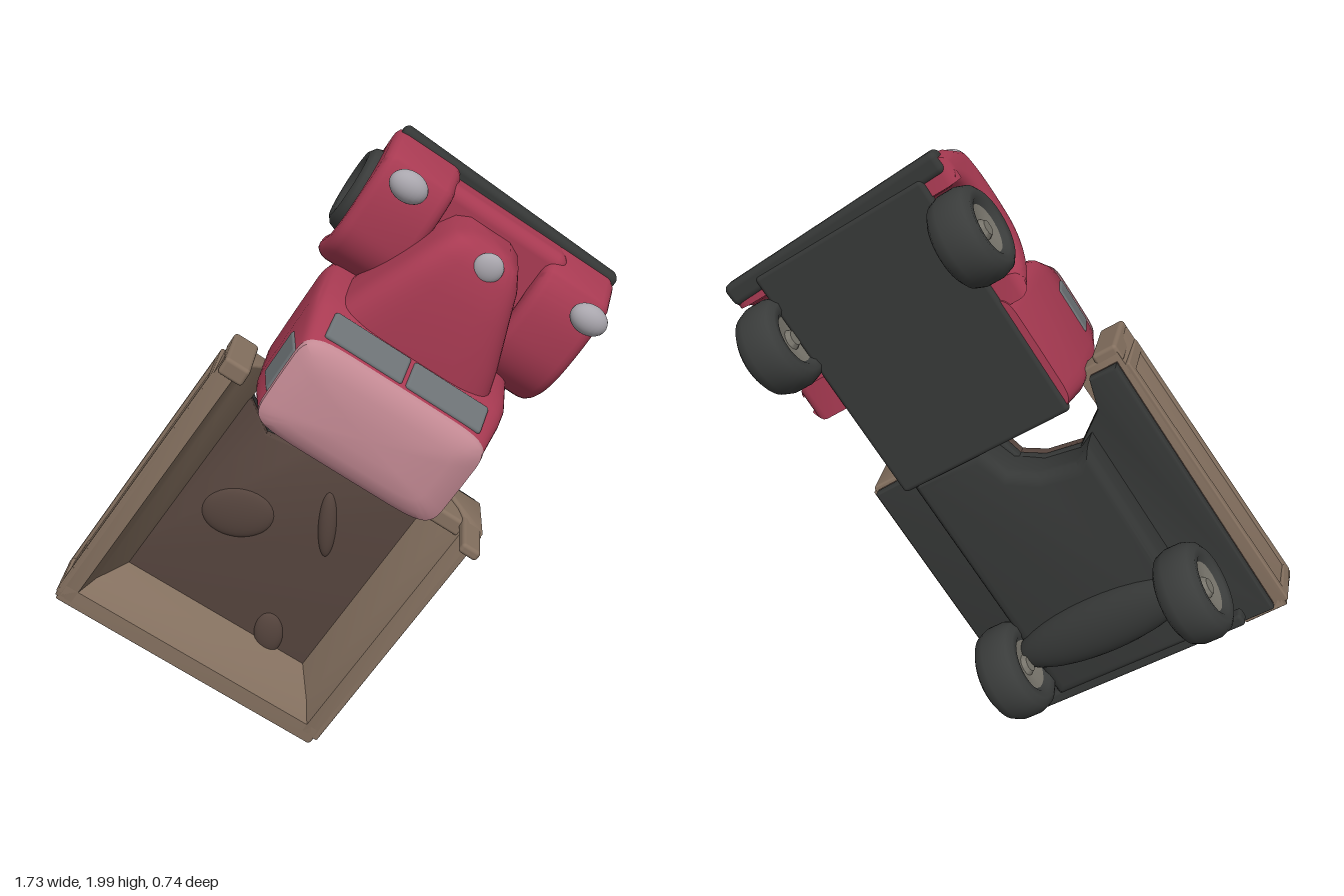
import * as THREE from 'three';
import { toCreasedNormals } from 'three/addons/utils/BufferGeometryUtils.js';
import { RoundedBoxGeometry } from 'three/addons/geometries/RoundedBoxGeometry.js';

// Truck frame: x = across, y = forward (nose), z = up
const paint = (color, side = THREE.FrontSide) => new THREE.MeshStandardMaterial({ color, side });
const RED = paint(0xa83a52), ROOF = paint(0xc48a94), WOOD = paint(0x84705f), FLOOR = paint(0x55443d);
const DARK = paint(0x353736), TYRE = paint(0x3a3c3b), HUB = paint(0x77746b, THREE.DoubleSide);
const GLASS = paint(0x6c7275), LAMP = paint(0xa9a6ad);
const X = new THREE.Vector3(1, 0, 0), Y = new THREE.Vector3(0, 1, 0), Z = new THREE.Vector3(0, 0, 1);

function add(parent, name, geo, mat, x = 0, y = 0, z = 0) {
  const m = new THREE.Mesh(geo, mat);
  m.name = name;
  m.position.set(x, y, z);
  parent.add(m);
  return m;
}

function addGroup(parent, name) {
  const g = new THREE.Group();
  g.name = name;
  parent.add(g);
  return g;
}

// Rounded box given by its limits
function block(parent, name, mat, [x0, x1], [y0, y1], [z0, z1], r = 0.012) {
  const g = new RoundedBoxGeometry(x1 - x0, y1 - y0, z1 - z0, 3, r);
  return add(parent, name, g, mat, (x0 + x1) / 2, (y0 + y1) / 2, (z0 + z1) / 2);
}

function ellipsoid(parent, name, mat, center, radii) {
  const m = add(parent, name, new THREE.SphereGeometry(1, 24, 16), mat, ...center);
  m.scale.set(...radii);
  return m;
}

// Skin over superellipse rings; place(a, b, t) maps ring coordinates to space
// rings: [t, halfWidth, bMin, bMax]
function loft(rings, power, place) {
  const N = 48, pos = [], idx = [];
  const push = (v) => pos.push(...v);
  const curve = (c) => Math.sign(c) * Math.pow(Math.abs(c), 2 / power);
  for (const [t, w, b0, b1] of rings) {
    for (let i = 0; i < N; i++) {
      const a = (i / N) * Math.PI * 2;
      push(place(w * curve(Math.cos(a)), (b0 + b1) / 2 + ((b1 - b0) / 2) * curve(Math.sin(a)), t));
    }
  }
  const last = rings.length - 1;
  for (let r = 0; r < last; r++) {
    for (let i = 0; i < N; i++) {
      const a = r * N + i, b = r * N + ((i + 1) % N);
      idx.push(a, b, b + N, a, b + N, a + N);
    }
  }
  for (const r of [0, last]) {
    const [t, , b0, b1] = rings[r], c = pos.length / 3;
    push(place(0, (b0 + b1) / 2, t));
    for (let i = 0; i < N; i++) {
      const a = r * N + i, b = r * N + ((i + 1) % N);
      if (r === 0) idx.push(c, b, a); else idx.push(c, a, b);
    }
  }
  const g = new THREE.BufferGeometry();
  g.setAttribute('position', new THREE.Float32BufferAttribute(pos, 3));
  g.setIndex(idx);
  return toCreasedNormals(g, 0.8);
}
const upward = (a, b, t) => [a, b, t];
const backward = (a, b, t) => [a, -t, b]; // rings run from nose to cab

function extrude(shape, depth, basis, bevel) {
  const g = new THREE.ExtrudeGeometry(shape, {
    depth: depth - 2 * bevel, bevelSize: bevel, bevelThickness: bevel,
    bevelOffset: -bevel, bevelSegments: 4, curveSegments: 20,
  });
  g.translate(0, 0, bevel);
  g.applyMatrix4(new THREE.Matrix4().makeBasis(...basis));
  return toCreasedNormals(g, 0.7);
}
const polygon = (pts) => new THREE.Shape(pts.map((p) => new THREE.Vector2(...p)));

// Fat tyre with a dished hub on both faces
function wheel(parent, name, x, y, z, r, w) {
  const g = addGroup(parent, name);
  g.position.set(x, y, z);
  g.rotation.z = Math.PI / 2;
  const tyre = [[0.5, -0.7], [0.62, -0.95], [0.78, -1], [0.92, -0.8], [1, -0.35], [1, 0.35],
    [0.92, 0.8], [0.78, 1], [0.62, 0.95], [0.5, 0.7]].map(([a, b]) => new THREE.Vector2(a * r, b * w));
  add(g, 'tyre', new THREE.LatheGeometry(tyre, 40), TYRE);
  const hub = [[0, -0.8], [0.16, -0.8], [0.22, -0.6], [0.54, -0.75], [0.54, 0.75], [0.22, 0.6], [0.16, 0.8], [0, 0.8]]
    .map(([a, b]) => new THREE.Vector2(a * r, b * w));
  add(g, 'hub', toCreasedNormals(new THREE.LatheGeometry(hub, 24), 0.5), HUB);
}

function buildBed(truck) {
  const bed = addGroup(truck, 'cargoBed');
  // Floor and chassis, both broken open behind the cab
  const floor = polygon([[-0.465, 0.01], [0.465, 0.01], [0.465, 0.95], [0, 0.96], [-0.03, 0.85],
    [-0.1, 0.81], [-0.22, 0.79], [-0.33, 0.87], [-0.36, 0.97], [-0.455, 0.97]]);
  add(bed, 'bedFloor', extrude(floor, 0.035, [X, Y, Z], 0.008), FLOOR, 0, 0, -0.015);
  add(bed, 'underFloor', extrude(floor, 0.04, [X, Y, Z], 0.01), DARK, 0, 0, -0.05);
  const frame = polygon([[-0.28, 0.08], [0.28, 0.08], [0.28, 0.97], [0.02, 0.97], [-0.02, 0.86],
    [-0.1, 0.81], [-0.22, 0.79], [-0.28, 0.82]]);
  add(bed, 'rearChassis', extrude(frame, 0.155, [X, Y, Z], 0.04), DARK, 0, 0, -0.175);
  block(bed, 'rearBumper', DARK, [-0.4, 0.37], [0.06, 0.1], [-0.165, -0.11]);
  ellipsoid(bed, 'rearAxle', DARK, [0, 0.27, -0.17], [0.32, 0.1, 0.07]);

  // Rubble on the floor
  for (const [x, y, rx, ry] of [[0.17, 0.17, 0.05, 0.08], [0.11, 0.63, 0.03, 0.12], [-0.15, 0.5, 0.12, 0.09]]) {
    ellipsoid(bed, 'rubble', FLOOR, [x, y, 0.015], [rx, ry, 0.025]).rotation.z = 0.5;
  }

  // Sloped walls: upright outside, flaring to the floor inside
  const wall = polygon([[0, -0.01], [-0.008, 0.18], [0.05, 0.18], [0.08, 0.1], [0.15, 0.015], [0.15, -0.01]]);
  const negX = X.clone().negate(), negY = Y.clone().negate();
  const right = addGroup(bed, 'rightSide'), left = addGroup(bed, 'leftSide');
  right.position.x = 0.475;
  left.position.x = -0.5;
  left.rotation.z = -0.03;
  add(right, 'rightWall', extrude(wall, 0.965, [negX, Z, Y], 0.008), WOOD);
  add(left, 'leftWall', extrude(wall, 1.015, [X, Z, negY], 0.008), WOOD, 0, 1.0, 0);
  add(bed, 'tailgate', extrude(wall, 0.975, [Y, Z, X], 0.008), WOOD, -0.5, -0.012, 0);
  for (const side of [left, right]) {
    for (const z of [0.005, 0.165]) block(side, 'sideRail', WOOD, [-0.012, 0.012], [0, 0.95], [z - 0.015, z + 0.015], 0.006);
    for (const y of [0.02, 0.93]) block(side, 'sidePost', WOOD, [-0.012, 0.012], [y - 0.02, y + 0.02], [-0.01, 0.18], 0.006);
  }
  block(bed, 'tailRail', WOOD, [-0.5, 0.47], [-0.026, 0], [0.15, 0.18], 0.006);

  // Remains of the headboard
  block(bed, 'headboardRight', WOOD, [0.2, 0.47], [0.9, 0.955], [0, 0.17]);
  block(bed, 'headboardPost', WOOD, [0.41, 0.475], [0.93, 0.965], [0, 0.32]);
  block(bed, 'headboardLeft', WOOD, [-0.475, -0.39], [0.96, 1.02], [-0.01, 0.2]);
}

function buildCab(truck) {
  const cab = addGroup(truck, 'cab');
  cab.position.x = -0.022;
  add(cab, 'cabBody', loft([[-0.18, 0.31, 0.96, 1.36], [-0.06, 0.335, 0.945, 1.37], [0.14, 0.337, 0.94, 1.35],
    [0.2, 0.33, 0.942, 1.335], [0.32, 0.31, 0.955, 1.275], [0.345, 0.285, 0.975, 1.25]], 9, upward), RED);
  add(cab, 'roof', loft([[0.32, 0.315, 0.95, 1.278], [0.338, 0.312, 0.953, 1.272], [0.356, 0.28, 0.975, 1.25],
    [0.369, 0.23, 1.01, 1.21], [0.375, 0.12, 1.06, 1.15]], 7, upward), ROOF);
  for (const s of [-1, 1]) {
    const pane = add(cab, 'windscreenPane', new RoundedBoxGeometry(0.26, 0.022, 0.105, 3, 0.01), GLASS, s * 0.136, 1.302, 0.26);
    pane.rotation.x = 0.46;
    const side = add(cab, 'sideWindow', new RoundedBoxGeometry(0.02, 0.16, 0.12, 3, 0.009), GLASS, s * 0.318, 1.12, 0.245);
    side.rotation.y = -s * 0.165;
  }
  block(cab, 'rearWindow', GLASS, [-0.15, 0.15], [0.942, 0.96], [0.22, 0.3], 0.008);
}

// Fender outline seen from the side, with the wheel arch cut out
function fender(rear, front) {
  const f = new THREE.Shape();
  f.moveTo(rear, -0.175);
  f.bezierCurveTo(rear + 0.02, -0.06, rear + 0.08, 0.05, 1.52, 0.055);
  f.bezierCurveTo(1.62, 0.06, front - 0.09, 0.05, front - 0.04, 0.015);
  f.lineTo(front, -0.09);
  f.lineTo(front, -0.175);
  f.lineTo(1.7, -0.175);
  f.absarc(1.55, -0.19, 0.15, 0.1, Math.PI - 0.1, false);
  f.closePath();
  return extrude(f, 0.235, [Y, Z, X], 0.035);
}

function buildNose(truck) {
  const nose = addGroup(truck, 'nose');
  add(nose, 'hood', loft([[-1.715, 0.07, -0.08, 0.145], [-1.695, 0.11, -0.1, 0.175], [-1.64, 0.145, -0.1, 0.198],
    [-1.54, 0.185, -0.1, 0.208], [-1.42, 0.235, -0.1, 0.213], [-1.29, 0.28, -0.1, 0.21]], 4.5, backward), RED, -0.02);
  block(nose, 'noseBody', RED, [-0.24, 0.24], [1.3, 1.765], [-0.17, -0.02], 0.04);
  add(nose, 'leftFender', fender(1.32, 1.79), RED, -0.4);
  add(nose, 'rightFender', fender(1.28, 1.765), RED, 0.175);

  // Headlights on short stalks
  for (const [x, y, z] of [[-0.305, 1.715, 0.088], [0.355, 1.677, 0.075]]) {
    ellipsoid(nose, 'headlight', LAMP, [x, y, z], [0.06, 0.046, 0.04]);
    const stem = add(nose, 'headlightStem', new THREE.CylinderGeometry(0.02, 0.028, 0.06, 16), RED, x, y - 0.01, 0.045);
    stem.rotation.x = Math.PI / 2;
  }
  ellipsoid(nose, 'hoodCap', LAMP, [0, 1.67, 0.183], [0.045, 0.045, 0.024]);
  const bumper = block(nose, 'bumper', DARK, [-0.385, 0.41], [1.725, 1.795], [-0.182, -0.12], 0.02);
  bumper.rotation.z = -0.035;
  block(nose, 'frontUnderplate', DARK, [-0.31, 0.3], [0.955, 1.76], [-0.19, -0.155], 0.015);
}

export function createModel() {
  const model = new THREE.Group();
  model.name = 'pickupTruck';
  const truck = addGroup(model, 'truckBody');
  truck.position.set(-0.437, 0.281, 0);
  truck.rotation.z = -0.571; // stands nose-up, leaning to one side

  buildBed(truck);
  buildCab(truck);
  buildNose(truck);
  for (const s of [-1, 1]) {
    wheel(truck, 'frontWheel', s * 0.35, 1.55, -0.198, 0.144, 0.073);
    wheel(truck, 'rearWheel', s * 0.33, 0.26, -0.212, 0.157, 0.073);
  }
  return model;
}
